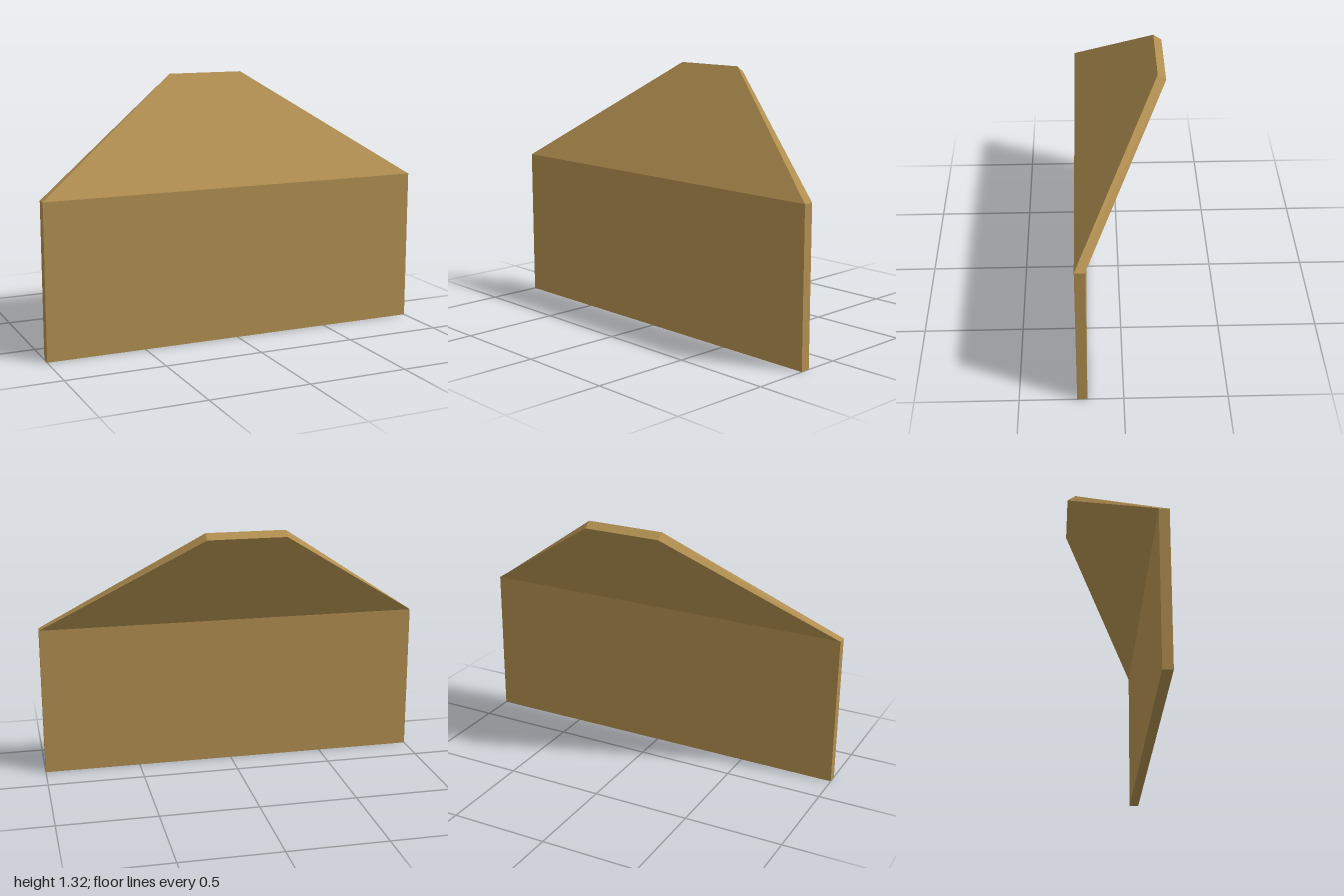
import * as THREE from 'three';

const FRONT = 0.223, BACK = 0.174, JOINT = 0.777;

export function createModel() {
  const model = new THREE.Group();
  const wood = new THREE.MeshStandardMaterial({ color: 0xb08e50 });
  wood.name = 'tan wood';

  // Upright lower panel
  const lower = new THREE.Mesh(new THREE.BoxGeometry(2, JOINT, FRONT - BACK), wood);
  lower.name = 'lowerPanel';
  lower.position.set(0, JOINT / 2, (FRONT + BACK) / 2);
  model.add(lower);

  // Leaning upper panel: a box tapered to a trapezoid and sheared backwards
  const geometry = new THREE.BoxGeometry(2, 1, 1);
  const pos = geometry.attributes.position;
  for (let i = 0; i < pos.count; i++) {
    const top = pos.getY(i) > 0, front = pos.getZ(i) > 0;
    const x = Math.sign(pos.getX(i)) * (top ? 0.2 : 1);
    const y = top ? (front ? 1.316 : 1.288) : JOINT;
    const z = top ? (front ? -0.182 : -0.223) : (front ? FRONT : BACK);
    pos.setXYZ(i, x, y, z);
  }
  const flat = geometry.toNonIndexed();
  flat.computeVertexNormals();
  const upper = new THREE.Mesh(flat, wood);
  upper.name = 'upperPanel';
  model.add(upper);

  return model;
}
